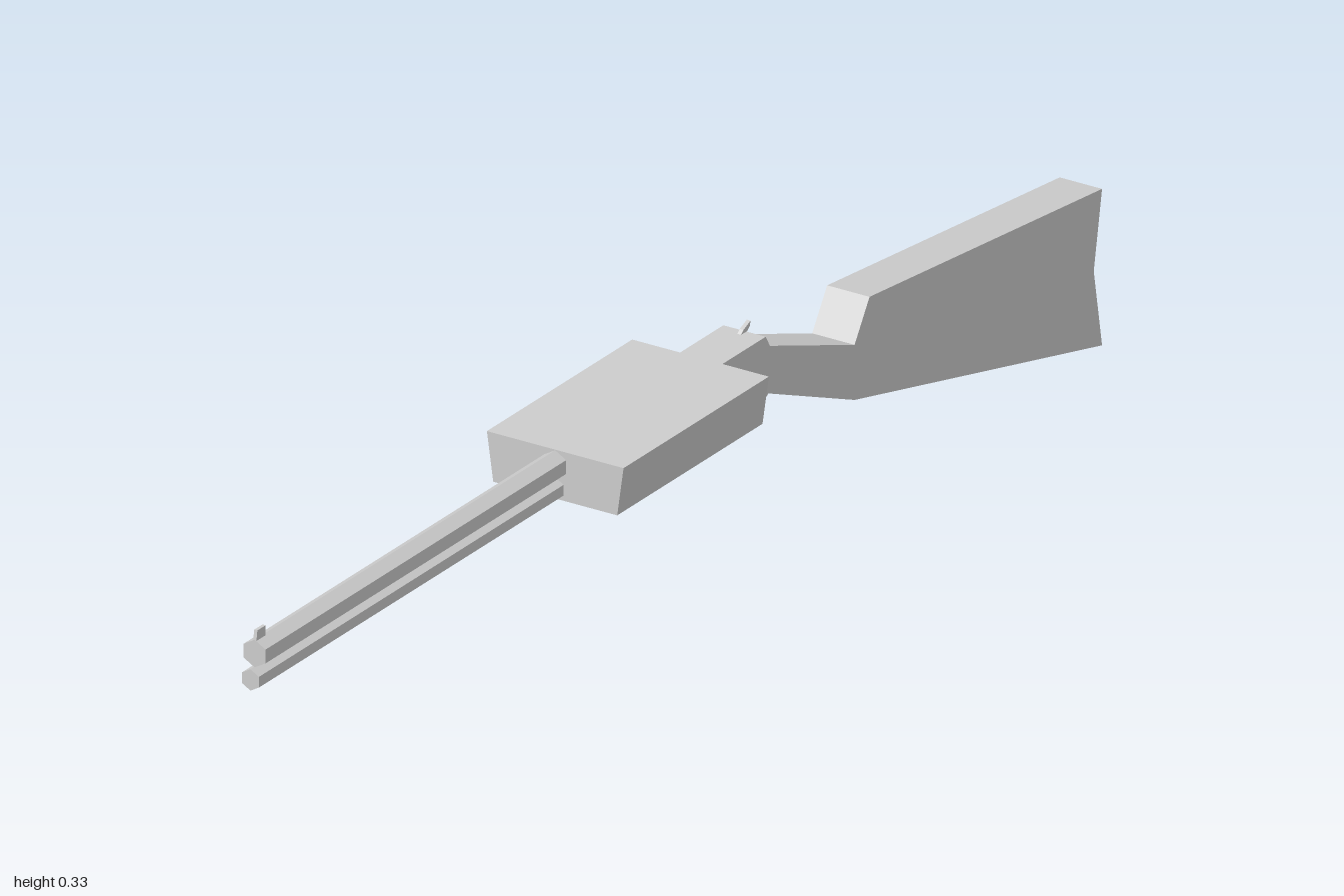
import * as THREE from 'three';

export function createModel() {
  const model = new THREE.Group();
  const grey = new THREE.MeshStandardMaterial({ color: 0xcccccc, flatShading: true });
  grey.name = 'plain grey';

  const add = (name, geometry) => {
    const mesh = new THREE.Mesh(geometry, grey);
    mesh.name = name;
    model.add(mesh);
    return mesh;
  };
  const extrude = (points, depth) => new THREE.ExtrudeGeometry(
    new THREE.Shape(points.map(([a, b]) => new THREE.Vector2(a, b))),
    { depth, bevelEnabled: false });

  // Side profile given as [z, y], centred across x
  const sideProfile = (points, width) =>
    extrude(points, width).translate(0, 0, -width / 2).rotateY(-Math.PI / 2);

  // Six-sided tube along z
  const hexTube = (radius, y, z0, z1) => new THREE.CylinderGeometry(radius, radius, z1 - z0, 6)
    .rotateX(Math.PI / 2).translate(0, y, (z0 + z1) / 2);

  // Stock with wrist and notched butt
  add('stock', sideProfile([
    [-0.08, 0.32], [-0.19, 0.32], [-0.2, 0.303], [-0.404, 0.227], [-0.44, 0.283],
    [-1, 0.227], [-0.98, 0.115], [-1, 0], [-0.404, 0.147], [-0.19, 0.238], [-0.08, 0.24],
  ], 0.067));

  // Wide body, narrower at the bottom
  add('body', extrude([[-0.098, 0.25], [0.098, 0.25], [0.108, 0.321], [-0.108, 0.321]], 0.35)
    .translate(0, 0, -0.084));

  // Barrel and the tube under it
  add('barrel', hexTube(0.02, 0.3, 0.26, 0.99));
  add('lowerTube', hexTube(0.0155, 0.2655, 0.26, 1));

  // Sight and hammer
  add('frontSight', sideProfile([[0.99, 0.315], [0.987, 0.333], [0.967, 0.333], [0.967, 0.315]], 0.005));
  add('hammer', sideProfile([[-0.175, 0.318], [-0.183, 0.325], [-0.2, 0.332],
    [-0.198, 0.325], [-0.19, 0.318]], 0.006));

  // Guard strip and trigger
  add('triggerGuard', sideProfile([
    [-0.127, 0.24], [-0.143, 0.2], [-0.192, 0.187], [-0.232, 0.216], [-0.228, 0.223],
    [-0.19, 0.195], [-0.148, 0.206], [-0.134, 0.24],
  ], 0.02));
  add('trigger', sideProfile([[-0.183, 0.242], [-0.19, 0.222], [-0.203, 0.212],
    [-0.197, 0.224], [-0.193, 0.24]], 0.006));

  return model;
}
